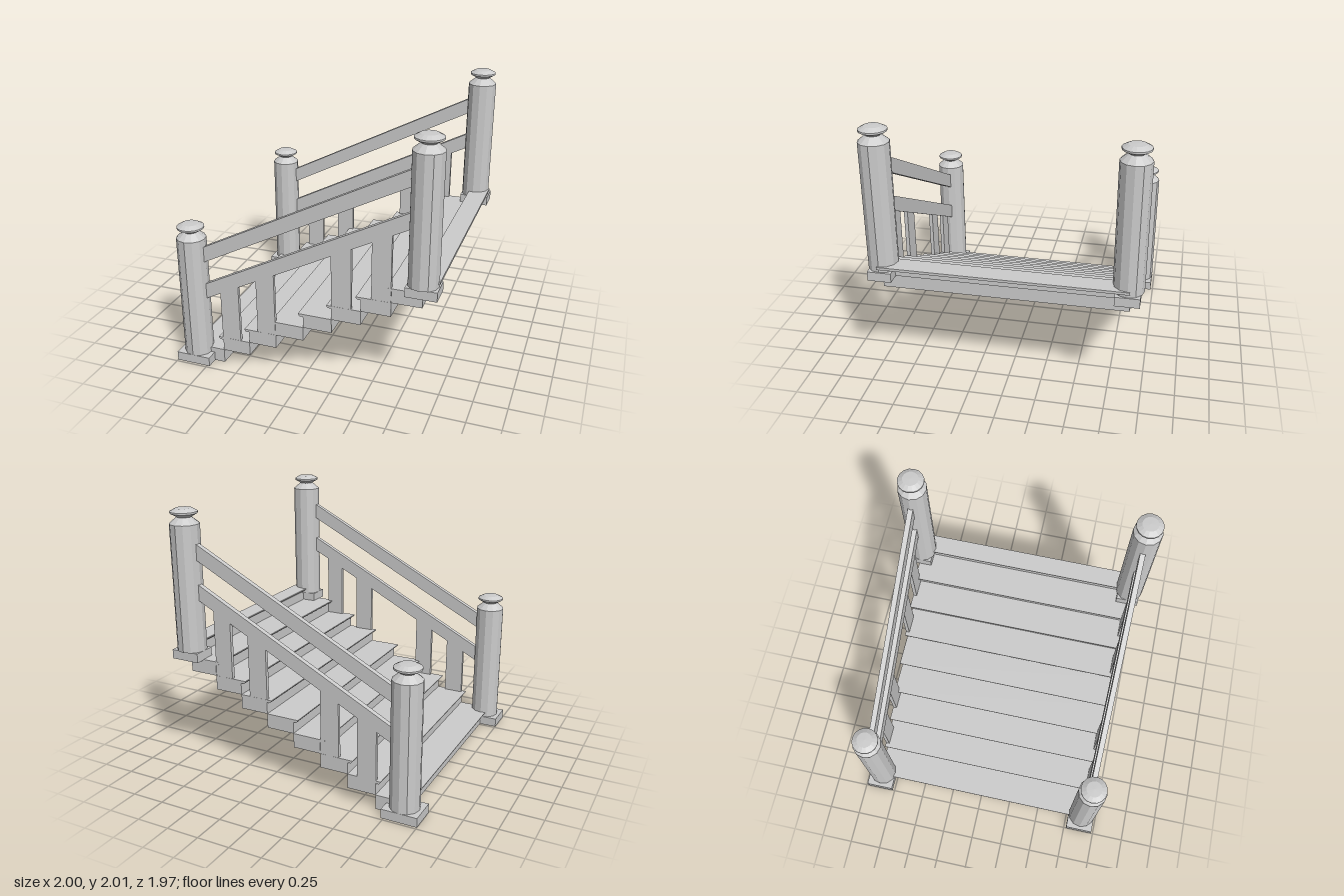
import * as THREE from 'three';

const material = new THREE.MeshStandardMaterial({ color: 0xcccccc, flatShading: true });

function add(parent, name, geometry, x = 0, y = 0, z = 0) {
  const mesh = new THREE.Mesh(geometry, material);
  mesh.name = name;
  mesh.position.set(x, y, z);
  parent.add(mesh);
  return mesh;
}

// Box given by its limits on each axis
function box(parent, name, x0, x1, y0, y1, z0, z1) {
  return add(parent, name, new THREE.BoxGeometry(x1 - x0, y1 - y0, z1 - z0),
    (x0 + x1) / 2, (y0 + y1) / 2, (z0 + z1) / 2);
}

// Side profile in x/y, extruded along z between z0 and z1
function slab(parent, name, points, z0, z1) {
  const shape = new THREE.Shape(points.map(([x, y]) => new THREE.Vector2(x, y)));
  const geometry = new THREE.ExtrudeGeometry(shape, { depth: z1 - z0, bevelEnabled: false });
  return add(parent, name, geometry, 0, 0, z0);
}

function lathe(points, sides) {
  return new THREE.LatheGeometry(points.map(([r, y]) => new THREE.Vector2(r, y)), sides);
}

// Plinth without its bottom face
function openBox(w, h, d) {
  const geometry = new THREE.BoxGeometry(w, h, d);
  const index = Array.from(geometry.index.array);
  index.splice(18, 6);
  geometry.setIndex(index);
  geometry.clearGroups();
  return geometry;
}

// Newel post: plinth, faceted shaft with sloped shoulder, turned cap
function newelPost(name, x, y, z, baseX, baseW, baseD) {
  const post = new THREE.Group();
  post.name = name;
  post.position.set(x, y, z);
  add(post, 'plinth', openBox(baseW, 0.07, baseD), baseX - x, 0.035, 0);
  add(post, 'shaft', lathe([[0.11, 0.07], [0.11, 1.02], [0.05, 1.07]], 12));
  add(post, 'cap', lathe([[0.05, 1.065], [0.065, 1.075], [0.1, 1.095], [0.1, 1.108],
    [0.06, 1.13], [0, 1.133]], 16));
  return post;
}

export function createModel() {
  const model = new THREE.Group();
  model.name = 'staircase';

  const run = 0.2187, rise = 0.1097, halfWidth = 0.89, count = 9;
  const startX = -0.865;

  // Steps: solid blocks under thin treads with an undercut nosing
  for (let i = 0; i < count; i++) {
    const last = i === count - 1;
    const x0 = startX + i * run;
    const x1 = last ? 1.0 : x0 + run;
    const top = (i + 1) * rise;
    if (last) box(model, 'topRiser', x0, x0 + 0.02, top - rise, top - 0.02, -halfWidth, halfWidth);
    else box(model, 'step', x0, x1, top - rise, top - 0.02, -halfWidth, halfWidth);
    const nose = x0 - 0.037;
    slab(model, 'tread', [[nose, top], [nose, top - 0.007], [nose + 0.012, top - 0.02],
      [x1, top - 0.02], [x1, top]], -halfWidth, halfWidth);
  }

  // Height of the lower rail's bottom edge along the stair
  const slope = 0.516;
  const railY = (x) => 0.54 + (x + 0.76) * slope;

  for (const side of [-1, 1]) {
    const z = side * 0.875;

    // Posts
    model.add(newelPost('lowerPost', -0.865, 0, z, -0.865, 0.27, 0.215));
    model.add(newelPost('upperPost', 0.883, 0.873, z, 0.8875, 0.225, 0.175));

    // Sloping rails
    const a = -0.8, b = 0.82, thick = 0.12;
    for (const [name, lift] of [['lowerRail', 0], ['handrail', 0.3]]) {
      slab(model, name, [[a, railY(a) + lift], [b, railY(b) + lift],
        [b, railY(b) + lift + thick], [a, railY(a) + lift + thick]], z - 0.02, z + 0.02);
    }

    // Flat balusters, cut to the rail's slope
    for (const [x0, x1, step] of [[-0.648, -0.5, 2], [-0.355, -0.212, 3],
      [0.227, 0.375, 6], [0.522, 0.663, 7]]) {
      const foot = step * rise - 0.01;
      slab(model, 'baluster', [[x0, foot], [x1, foot], [x1, railY(x1) + 0.02],
        [x0, railY(x0) + 0.02]], z - 0.014, z + 0.014);
    }
  }

  return model;
}
